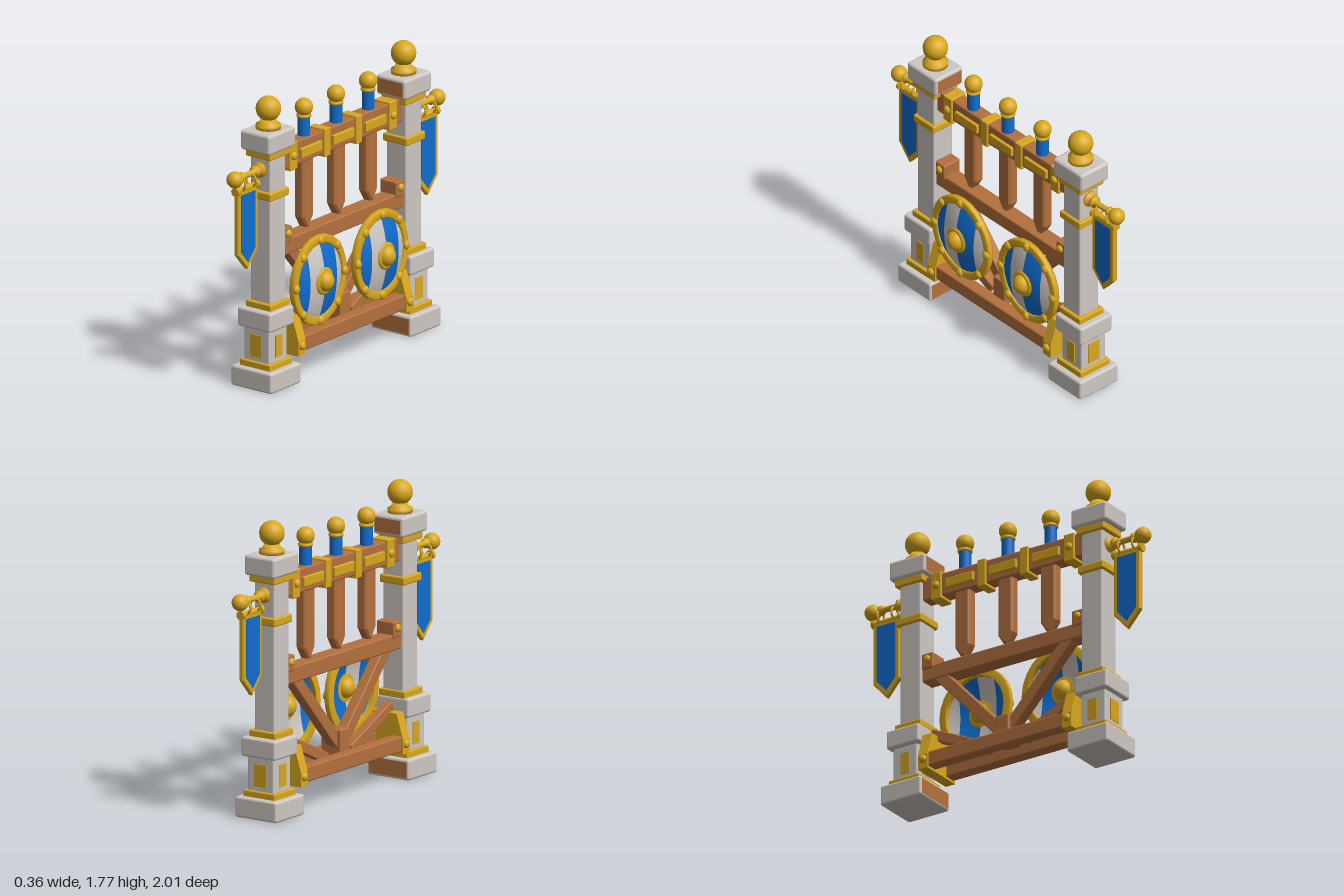
import * as THREE from 'three';
import { RoundedBoxGeometry } from 'three/addons/geometries/RoundedBoxGeometry.js';

const CX = -0.023; // centre line of the posts

export function createModel() {
  const mat = (name, color, side = THREE.FrontSide) => {
    const m = new THREE.MeshStandardMaterial({ color, side });
    m.name = name;
    return m;
  };
  const stone = mat('stone', 0xcfc8c4);
  const gold = mat('gold', 0xd9a81e);
  const wood = mat('wood', 0xb5713e);
  const blue = mat('blue', 0x0f6dd0, THREE.DoubleSide);
  const white = mat('shield white', 0xcfc9c5, THREE.DoubleSide);

  const root = new THREE.Group();
  root.name = 'gate';

  const add = (parent, name, geo, material, x = 0, y = 0, z = 0) => {
    const m = new THREE.Mesh(geo, material);
    m.name = name;
    m.position.set(x, y, z);
    parent.add(m);
    return m;
  };
  // Softly bevelled block given by its limits
  const block = (p, name, m, x0, x1, y0, y1, z0, z1, r = 0.01) =>
    add(p, name, new RoundedBoxGeometry(x1 - x0, y1 - y0, z1 - z0, 2, r), m,
      (x0 + x1) / 2, (y0 + y1) / 2, (z0 + z1) / 2);
  const ball = (p, name, r, x, y, z, m = gold) =>
    add(p, name, new THREE.SphereGeometry(r, 24, 16), m, x, y, z);
  const stud = (p, name, r, x, y, z) => {
    const s = ball(p, name, r, x, y, z);
    s.scale.x = 0.7;
    return s;
  };
  const turned = (p, name, pts, m, x, y, z) =>
    add(p, name, new THREE.LatheGeometry(pts.map(a => new THREE.Vector2(...a)), 24), m, x, y, z);
  // Flat outline in (z, y), thickened along x
  const plate = (p, name, pts, thick, m, x, bevel = 0) => {
    const g = new THREE.ExtrudeGeometry(new THREE.Shape(pts.map(a => new THREE.Vector2(-a[0], a[1]))), {
      depth: thick - 2 * bevel, bevelEnabled: bevel > 0, bevelSize: bevel,
      bevelThickness: bevel, bevelOffset: -bevel, bevelSegments: 1 });
    g.translate(0, 0, -thick / 2 + bevel);
    g.rotateY(Math.PI / 2);
    return add(p, name, g, m, x, 0, 0);
  };
  // Timber running between two points of the (z, y) plane
  const brace = (p, name, x, z0, y0, z1, y1, w, d) => {
    const m = add(p, name, new RoundedBoxGeometry(d, w, Math.hypot(z1 - z0, y1 - y0), 2, 0.008), wood,
      x, (y0 + y1) / 2, (z0 + z1) / 2);
    m.rotation.x = -Math.atan2(y1 - y0, z1 - z0);
    return m;
  };

  // Posts with pedestal, bands, finial, banner and brackets
  for (const s of [1, -1]) {
    const post = new THREE.Group();
    post.name = s > 0 ? 'frontPost' : 'backPost';
    root.add(post);
    const tier = (name, m, hx, hz, y0, y1, zc, r) =>
      block(post, name, m, CX - hx, CX + hx, y0, y1, s * zc - hz, s * zc + hz, r);
    tier('base', stone, 0.15, 0.144, 0.005, 0.13, 0.66, 0.015);
    tier('baseTrim', gold, 0.113, 0.108, 0.12, 0.168, 0.66, 0.008);
    tier('pedestal', stone, 0.094, 0.086, 0.16, 0.38, 0.665);
    tier('pedestalCap', stone, 0.123, 0.115, 0.37, 0.487, 0.664, 0.015);
    tier('capTrim', gold, 0.094, 0.092, 0.48, 0.525, 0.645, 0.008);
    tier('shaft', stone, 0.073, 0.073, 0.515, 1.43, 0.641);
    tier('shaftBand', gold, 0.09, 0.09, 1.16, 1.21, 0.643);
    tier('topTrim', gold, 0.092, 0.098, 1.413, 1.462, 0.641, 0.008);
    tier('topBlock', stone, 0.109, 0.127, 1.455, 1.577, 0.641, 0.018);
    // Wooden facing on the inner sides
    add(post, 'baseInnerFace', new THREE.BoxGeometry(0.27, 0.095, 0.004), wood, CX, 0.067, s * 0.516);
    add(post, 'topInnerFace', new THREE.BoxGeometry(0.18, 0.085, 0.004), wood, CX, 1.515, s * 0.514);
    // Pedestal panels
    for (const k of [1, -1]) {
      add(post, 'sidePanel', new THREE.BoxGeometry(0.008, 0.135, 0.062), gold, CX + k * 0.095, 0.262, s * 0.662);
      add(post, 'endPanel', new THREE.BoxGeometry(0.084, 0.135, 0.008), gold, CX, 0.262, s * 0.665 + k * 0.087);
    }
    // Finial
    turned(post, 'finialNeck', [[0, 0], [0.075, 0], [0.075, 0.025], [0.055, 0.035], [0.045, 0.06], [0, 0.06]],
      gold, CX, 1.575, s * 0.638);
    ball(post, 'finialBall', 0.075, CX, 1.697, s * 0.638);

    // Banner arm: lathe turned to point outwards
    const banner = new THREE.Group();
    banner.name = 'banner';
    post.add(banner);
    const arm = turned(banner, 'bannerArm', [[0, 0], [0.047, 0], [0.047, 0.018], [0.026, 0.025], [0.026, 0.035],
      [0.036, 0.045], [0.036, 0.06], [0.018, 0.07], [0.018, 0.165], [0.03, 0.175], [0.03, 0.19],
      [0.018, 0.2], [0.018, 0.24]], gold, CX, 1.34, s * 0.71);
    arm.rotation.x = s * Math.PI / 2;
    ball(banner, 'armBall', 0.05, CX, 1.34, s * 0.954);
    const bar = add(banner, 'bannerBar', new THREE.CylinderGeometry(0.018, 0.018, 0.19, 16), gold, CX, 1.262, s * 0.85);
    bar.rotation.x = Math.PI / 2;
    for (const z of [0.757, 0.943]) {
      const cap = add(banner, 'barCap', new THREE.CylinderGeometry(0.027, 0.027, 0.024, 16), gold, CX, 1.262, s * z);
      cap.rotation.x = Math.PI / 2;
    }
    for (const z of [0.8, 0.9])
      add(banner, 'hanger', new THREE.TorusGeometry(0.036, 0.007, 8, 20), gold, CX, 1.30, s * z);
    const pennant = (h, top, low, tip) => [[-h, top], [h, top], [h, low], [0, tip], [-h, low]]
      .map(([z, y]) => [s * 0.85 + z, y]);
    plate(banner, 'bannerFrame', pennant(0.094, 1.258, 0.87, 0.765), 0.032, gold, CX, 0.006);
    for (const k of [1, -1])
      plate(banner, 'bannerCloth', pennant(0.066, 1.235, 0.885, 0.81), 0.006, blue, CX + k * 0.016);

    // Gold bracket clasping the lower beams
    const outline = [[-0.162, 0.17], [0.125, 0.17], [0.125, 0.26], [0.075, 0.41], [-0.115, 0.41], [-0.162, 0.26]];
    const bg = new THREE.ExtrudeGeometry(new THREE.Shape(outline.map(a => new THREE.Vector2(...a))),
      { depth: 0.066, bevelEnabled: false });
    add(post, 'beamBracket', bg, gold, 0, 0, s * 0.508 - 0.033);
    for (const x of [-0.163, 0.128]) stud(post, 'bracketStud', 0.026, x, 0.23, s * 0.508);
    // Timber block above the middle beam
    block(post, 'beamBlock', wood, -0.085, 0.04, 0.85, 0.95, s * 0.53 - 0.04, s * 0.53 + 0.04);
    for (const x of [-0.085, 0.042]) stud(post, 'blockStud', 0.024, x, 0.91, s * 0.53);
  }

  // Beams
  block(root, 'topBeam', wood, -0.07, 0.022, 1.30, 1.445, -0.58, 0.58);
  block(root, 'middleBeam', wood, -0.075, 0.03, 0.775, 0.872, -0.58, 0.58);
  block(root, 'rearLowerBeam', wood, -0.152, -0.075, 0.185, 0.278, -0.535, 0.535);
  block(root, 'frontLowerBeam', wood, 0.035, 0.115, 0.185, 0.278, -0.535, 0.535);
  block(root, 'kingBlock', wood, -0.092, 0.05, 0.24, 0.41, -0.05, 0.05);
  for (const s of [1, -1]) {
    brace(root, 'longBrace', -0.035, s * 0.03, 0.33, s * 0.47, 0.81, 0.075, 0.07);
    brace(root, 'shortBrace', -0.025, s * 0.12, 0.25, s * 0.53, 0.44, 0.065, 0.06);
  }

  // Clamps on the top beam
  for (const z of [-0.47, -0.15, 0.15, 0.47]) {
    const h = Math.abs(z) > 0.3 ? 0.036 : 0.029;
    block(root, 'beamClamp', gold, -0.082, 0.034, 1.282, 1.455, z - h, z + h, 0.006);
    if (h > 0.03) for (const x of [-0.083, 0.035]) stud(root, 'clampStud', 0.025, x, 1.37, z);
  }

  // Hanging wooden blades with blue grips
  for (const z of [-0.303, 0, 0.303]) {
    const sword = new THREE.Group();
    sword.name = 'hangingSword';
    root.add(sword);
    plate(sword, 'blade', [[z - 0.053, 1.32], [z - 0.053, 0.95], [z - 0.012, 0.883], [z + 0.012, 0.883],
      [z + 0.053, 0.95], [z + 0.053, 1.32]], 0.07, wood, CX, 0.012);
    for (const x of [-0.074, 0.026])
      block(sword, 'guardPlate', gold, x - 0.014, x + 0.014, 1.335, 1.395, z - 0.098, z + 0.098, 0.006);
    add(sword, 'grip', new THREE.CylinderGeometry(0.037, 0.037, 0.15, 20), blue, CX, 1.49, z);
    turned(sword, 'pommelCollar', [[0, 0], [0.042, 0], [0.045, 0.012], [0.03, 0.03], [0, 0.03]], gold, CX, 1.557, z);
    ball(sword, 'pommel', 0.054, CX, 1.617, z);
  }

  // One stripe of the domed shield face, between two widths u0 and u1
  const stripe = (u0, u1, r) => {
    const g = new THREE.PlaneGeometry(1, 1, 8, 20);
    const p = g.attributes.position;
    for (let i = 0; i < p.count; i++) {
      const u = THREE.MathUtils.lerp(u0, u1, p.getX(i) + 0.5);
      const v = p.getY(i) * 2 * Math.sqrt(Math.max(0, 1 - u * u));
      p.setXYZ(i, 0.05 * (1 - u * u - v * v), v * r, -u * r);
    }
    g.computeVertexNormals();
    return g;
  };

  // Shields
  for (const s of [1, -1]) {
    const shield = new THREE.Group();
    shield.name = 'shield';
    shield.position.set(0.075, 0.57, s * 0.291);
    shield.scale.y = 1.085;
    root.add(shield);
    [-1, -0.53, 0, 0.6, 1].forEach((u, i, a) => {
      if (i < 4) add(shield, 'shieldStripe', stripe(u, a[i + 1], 0.225), i % 2 ? white : blue);
    });
    const rim = turned(shield, 'shieldRim', [[0.205, -0.02], [0.248, -0.02], [0.253, -0.01], [0.253, 0.012],
      [0.245, 0.02], [0.212, 0.02], [0.205, 0.012], [0.205, -0.02]], gold, 0, 0, 0);
    rim.rotation.z = -Math.PI / 2;
    for (let i = 0; i < 8; i++) {
      const a = i * Math.PI / 4;
      stud(shield, 'rimStud', 0.025, 0.018, Math.cos(a) * 0.228, Math.sin(a) * 0.228);
    }
    const boss = turned(shield, 'bossRing', [[0, 0], [0.077, 0], [0.077, 0.014], [0.062, 0.022], [0, 0.022]],
      gold, 0.036, 0, 0);
    boss.rotation.z = -Math.PI / 2;
    ball(shield, 'boss', 0.058, 0.046, 0, 0);
  }
  return root;
}
